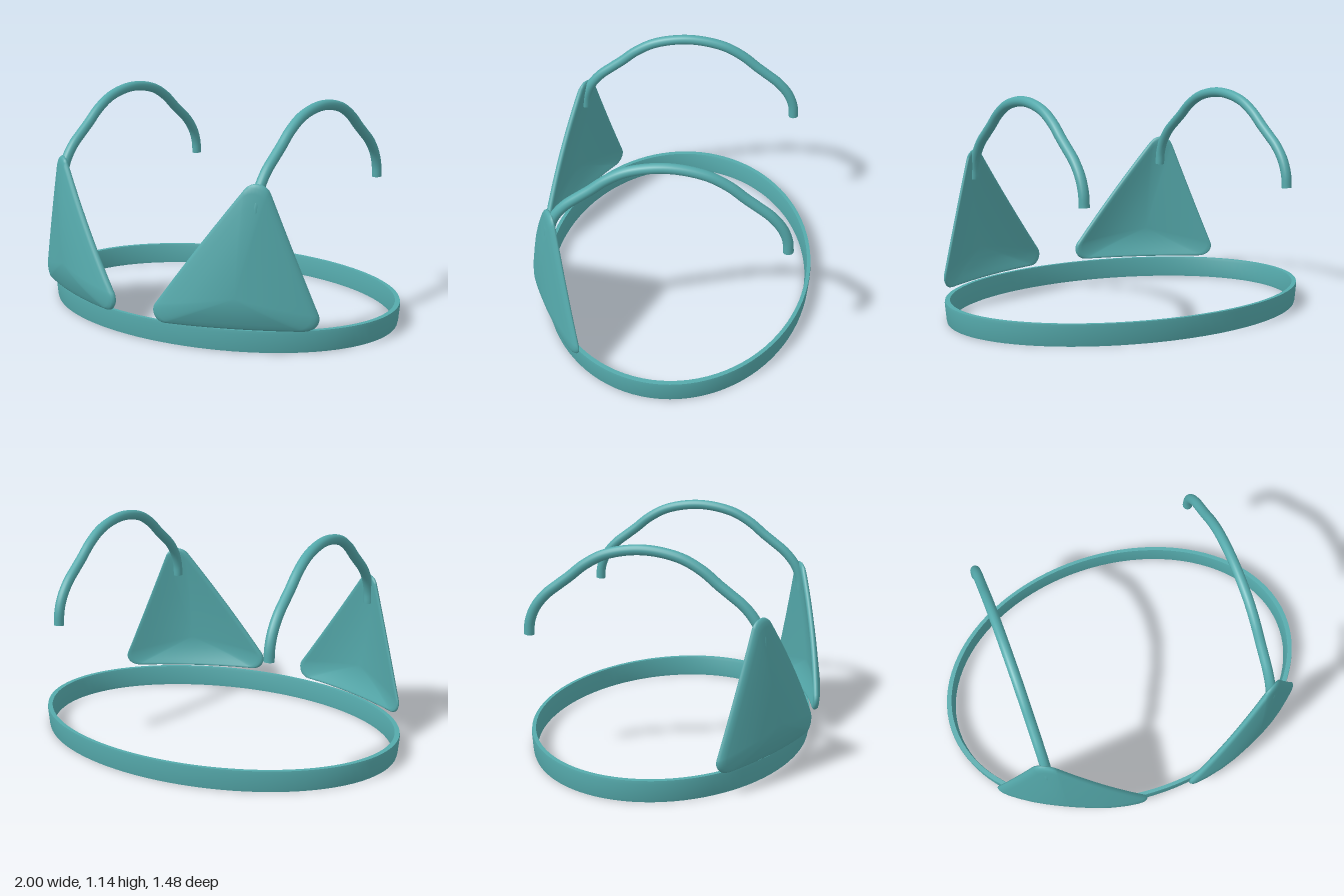
import * as THREE from 'three';
import { mergeVertices, toCreasedNormals } from 'three/addons/utils/BufferGeometryUtils.js';

const material = new THREE.MeshStandardMaterial({ color: 0x55aaac });

function addMesh(parent, name, geometry) {
  const mesh = new THREE.Mesh(geometry, material);
  mesh.name = name;
  parent.add(mesh);
  return mesh;
}

// Rounded triangle, counter-clockwise from the front
function cupOutline() {
  const r = 0.06;
  const corners = [[0.18, 0.175], [0.8, 0.175], [0.6, 0.765]].map(p => new THREE.Vector2(...p));
  const points = [];
  corners.forEach((c, i) => {
    const prev = corners[(i + 2) % 3], next = corners[(i + 1) % 3];
    const a0 = Math.atan2(c.y - prev.y, c.x - prev.x) - Math.PI / 2;
    let a1 = Math.atan2(next.y - c.y, next.x - c.x) - Math.PI / 2;
    while (a1 < a0) a1 += 2 * Math.PI;
    for (let k = 0; k <= 8; k++) {
      const a = a0 + (a1 - a0) * k / 8;
      points.push(new THREE.Vector2(c.x + r * Math.cos(a), c.y + r * Math.sin(a)));
    }
    // straight edge to the next corner
    const start = points[points.length - 1];
    const end = new THREE.Vector2(next.x + r * Math.cos(a1), next.y + r * Math.sin(a1));
    for (let k = 1; k < 12; k++) points.push(start.clone().lerp(end, k / 12));
  });
  return points;
}

// Thin curved shell: rings run from the front centre over the rim to the back centre
function cupGeometry(side) {
  const outline = cupOutline(), n = outline.length;
  const centre = new THREE.Vector2(0.54, 0.28);
  const front = [[0, 1], [0.2, 1], [0.4, 1], [0.6, 1], [0.8, 1], [0.92, 1], [0.965, 0.9], [0.99, 0.55]];
  const rings = [...front, [1, 0], ...front.map(([s, t]) => [s, -t]).reverse()];
  const positions = [], index = [];
  for (const [s, t] of rings) {
    for (const p of outline) {
      const x = centre.x + (p.x - centre.x) * s;
      const y = centre.y + (p.y - centre.y) * s;
      const wrap = 0.725 - 0.36 * (x - 0.13) - 0.31 * (x - 0.13) * (x - 0.6);
      positions.push(side * x, y, wrap + 0.045 * (1 - s * s) + 0.016 * t);
    }
  }
  for (let i = 0; i < rings.length - 1; i++) {
    for (let j = 0; j < n; j++) {
      const k = (j + 1) % n;
      const a = i * n + j, b = a + n, c = (i + 1) * n + k, d = i * n + k;
      if (side > 0) index.push(a, b, c, a, c, d);
      else index.push(a, c, b, a, d, c);
    }
  }
  let geometry = new THREE.BufferGeometry();
  geometry.setAttribute('position', new THREE.Float32BufferAttribute(positions, 3));
  geometry.setIndex(index);
  geometry = mergeVertices(geometry);
  geometry.computeVertexNormals();
  return geometry;
}

// Arched strap with a slight dip at each shoulder, the same front and back
function strapGeometry(x) {
  const half = [[0.583, 0.665], [0.577, 0.73], [0.55, 0.8], [0.495, 0.87], [0.42, 0.93],
    [0.37, 0.968], [0.29, 1.033], [0.18, 1.09]];
  const profile = [...half, [0, 1.119], ...half.map(([z, y]) => [-z, y]).reverse()];
  const path = new THREE.CatmullRomCurve3(profile.map(([z, y]) => new THREE.Vector3(x, y, z - 0.02)));
  return new THREE.TubeGeometry(path, 80, 0.026, 16);
}

export function createModel() {
  const model = new THREE.Group();
  model.name = 'bikiniTop';

  // Oval band, flaring slightly towards the top
  const profile = [[0.986, 0], [0.99, 0.015], [0.998, 0.095], [0.996, 0.11], [0.97, 0.11],
    [0.966, 0.095], [0.958, 0.015], [0.96, 0], [0.986, 0]];
  const band = new THREE.LatheGeometry(profile.map(p => new THREE.Vector2(...p)), 96);
  band.scale(1, 1, 0.723);
  band.translate(0, 0, -0.018);
  addMesh(model, 'band', toCreasedNormals(band, 0.6));

  for (const side of [1, -1]) {
    const prefix = side > 0 ? 'left' : 'right';
    addMesh(model, prefix + 'Cup', cupGeometry(side));
    addMesh(model, prefix + 'Strap', strapGeometry(side * 0.6));
    // Flat caps closing the strap ends
    for (const z of [0.563, -0.603]) {
      const cap = addMesh(model, prefix + 'StrapEnd', new THREE.CircleGeometry(0.026, 16));
      cap.rotation.x = Math.PI / 2;
      cap.position.set(side * 0.6, 0.665, z);
    }
  }
  return model;
}
